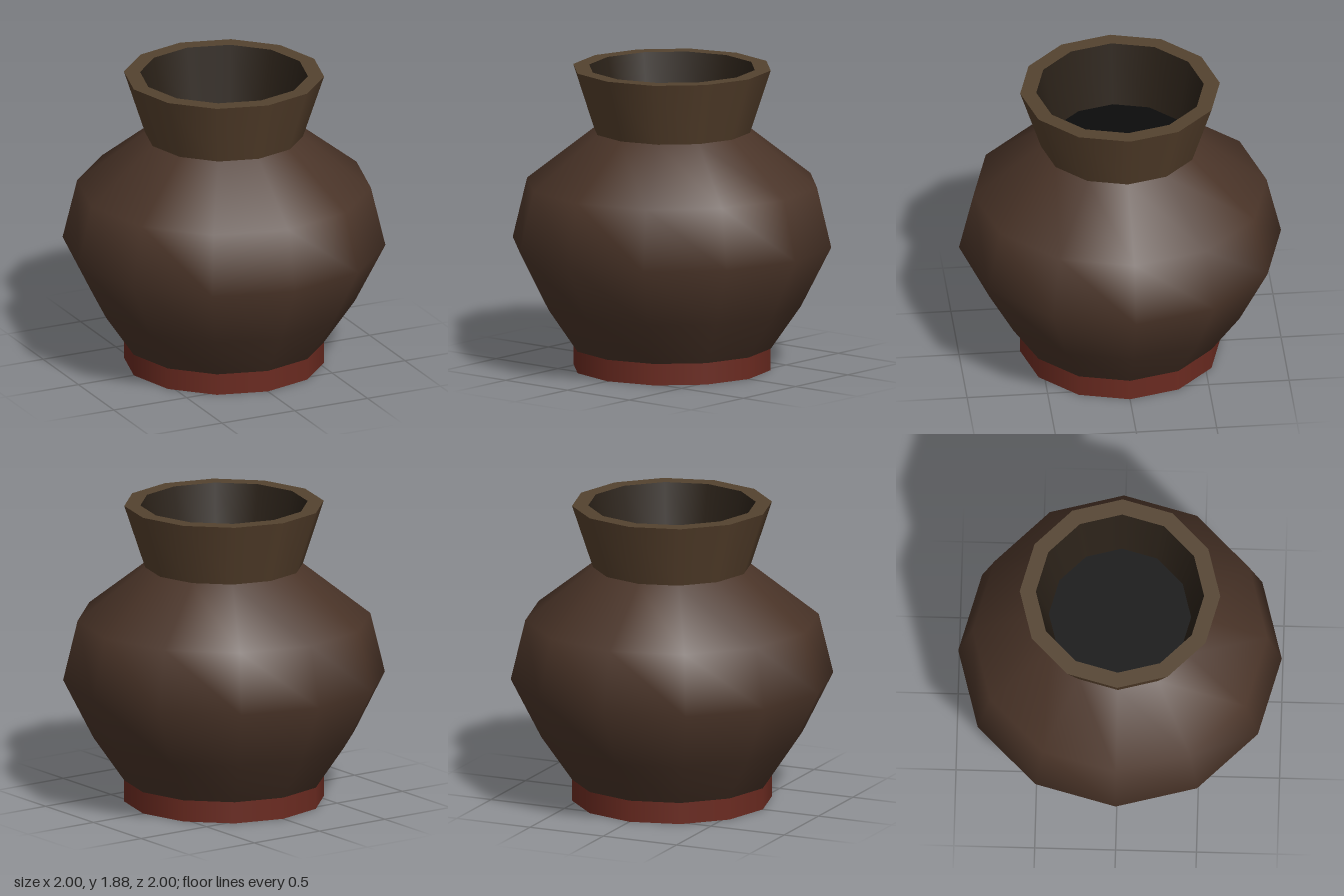
import * as THREE from 'three';

const SIDES = 12;

// Twelve-sided ring surface turned from [radius, height] pairs; smooth within a part, sharp between parts
function turned(name, color, profile) {
  const points = profile.map(([r, y]) => new THREE.Vector2(r, y));
  const mesh = new THREE.Mesh(
    new THREE.LatheGeometry(points, SIDES),
    new THREE.MeshStandardMaterial({ color })
  );
  mesh.name = name;
  return mesh;
}

export function createModel() {
  const group = new THREE.Group();
  group.name = 'pot';
  group.add(
    // Foot ring and underside
    turned('base', 0x4a1c16, [[0, 0], [0.62, 0]]),
    turned('foot', 0x6a2a20, [[0.62, 0], [0.62, 0.135]]),
    // Round belly up to the shoulder
    turned('body', 0x4a3428, [[0.62, 0.135], [0.81, 0.41], [1, 0.785], [0.91, 1.16], [0.49, 1.49]]),
    // Flared neck with a flat lip
    turned('neck', 0x56402c, [[0.49, 1.49], [0.62, 1.885]]),
    turned('rim', 0x54432f, [[0.62, 1.885], [0.52, 1.885]]),
    // Dark hollow of the mouth
    turned('innerWall', 0x2a2118, [[0.52, 1.885], [0.44, 1.49]]),
    turned('innerFloor', 0x0c0c0c, [[0.44, 1.49], [0, 1.49]])
  );
  return group;
}
